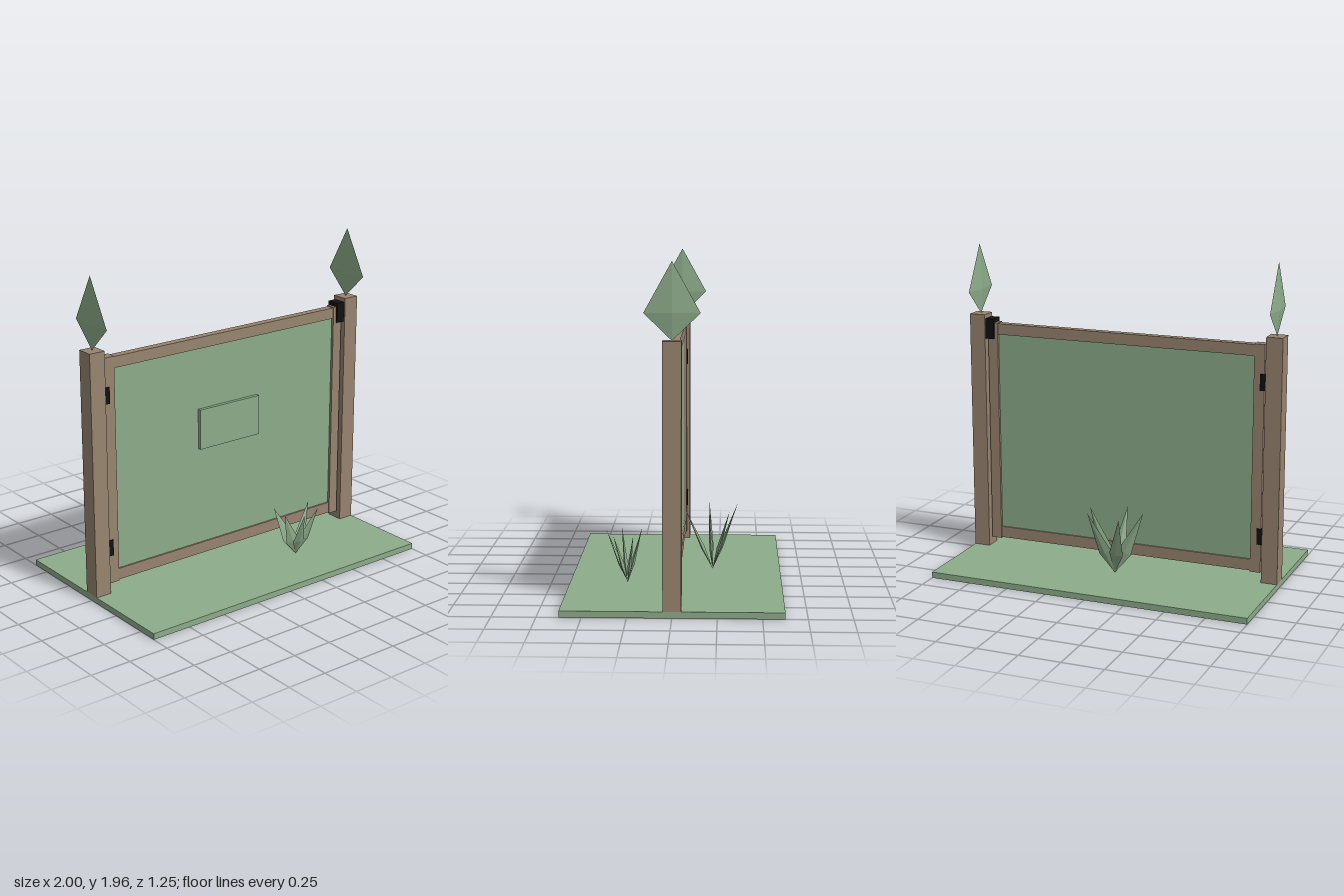
import * as THREE from 'three';

const green = new THREE.MeshStandardMaterial({ name: 'leaf green', color: 0x8dac8a });
const brown = new THREE.MeshStandardMaterial({ name: 'wood brown', color: 0x98846f });
const black = new THREE.MeshStandardMaterial({ name: 'iron black', color: 0x111111 });

// Box given by its minimum and maximum corners
function box(name, material, [x0, y0, z0], [x1, y1, z1]) {
  const mesh = new THREE.Mesh(new THREE.BoxGeometry(x1 - x0, y1 - y0, z1 - z0), material);
  mesh.position.set((x0 + x1) / 2, (y0 + y1) / 2, (z0 + z1) / 2);
  mesh.name = name;
  return mesh;
}

// Thin kite-shaped blade standing on its lower point, wide along x
function blade(name, height, halfWidth, halfDepth) {
  const geometry = new THREE.OctahedronGeometry(1);
  const p = geometry.attributes.position;
  for (let i = 0; i < p.count; i++) {
    const y = p.getY(i);
    p.setXYZ(i, p.getX(i) * halfWidth, height * (0.35 + y * (y > 0 ? 0.65 : 0.35)), p.getZ(i) * halfDepth);
  }
  geometry.computeVertexNormals();
  const mesh = new THREE.Mesh(geometry, green);
  mesh.name = name;
  return mesh;
}

// Tuft of blades leaning from one root towards the given tip offsets
function plant(name, root, tips) {
  const group = new THREE.Group();
  group.name = name;
  group.position.set(...root);
  for (const tip of tips) {
    const up = new THREE.Vector3(...tip);
    const leaf = blade('plantLeaf', up.length(), 0.043, 0.012);
    up.normalize();
    const side = new THREE.Vector3(1, 0, 0).addScaledVector(up, -up.x).normalize();
    const face = new THREE.Vector3().crossVectors(side, up);
    leaf.quaternion.setFromRotationMatrix(new THREE.Matrix4().makeBasis(side, up, face));
    group.add(leaf);
  }
  return group;
}

export function createModel() {
  const model = new THREE.Group();
  model.name = 'gardenGate';

  // Ground slab
  model.add(box('groundSlab', green, [-1, 0, -0.625], [1, 0.037, 0.625]));

  // Posts with leaf finials, and the gate's upright stiles
  for (const s of [-1, 1]) {
    const post = box('post', brown, [-0.05, 0.037, -0.052], [0.05, 1.527, 0.052]);
    post.position.x = s * 0.95;
    const finial = blade('leafFinial', 0.43, 0.155, 0.015);
    finial.rotation.y = Math.PI / 2;
    finial.position.set(s * 0.95, 1.527, 0);
    const stile = box('gateStile', brown, [-0.032, 0.09, -0.031], [0.032, 1.478, 0.031]);
    stile.position.x = s * 0.856;
    model.add(post, finial, stile);
  }

  // Gate rails, panel and plaque
  model.add(
    box('topRail', brown, [-0.83, 1.405, -0.025], [0.83, 1.473, 0.025]),
    box('bottomRail', brown, [-0.83, 0.095, -0.025], [0.83, 0.165, 0.025]),
    box('gatePanel', green, [-0.83, 0.16, -0.015], [0.83, 1.41, 0.015]),
    box('plaque', green, [-0.223, 0.778, 0.014], [0.223, 1.028, 0.038]),
  );

  // Hinges and latch
  for (const y of [0.316, 1.254]) {
    model.add(box('hinge', black, [-0.901, y - 0.049, -0.038], [-0.863, y + 0.049, 0.038]));
  }
  model.add(box('latch', black, [0.845, 1.377, -0.043], [0.9, 1.502, 0.043]));

  // Plants in front of and behind the gate
  model.add(
    plant('frontPlant', [0.325, 0.037, 0.285], [
      [-0.112, 0.303, -0.08], [0.13, 0.303, -0.04], [-0.128, 0.303, 0.042],
      [0.107, 0.303, 0.078], [-0.045, 0.303, 0.128],
    ]),
    plant('backPlant', [-0.028, 0.037, -0.213], [
      [-0.086, 0.388, -0.152], [0.134, 0.388, -0.104], [-0.174, 0.388, 0.022],
      [0.17, 0.388, 0.022], [-0.016, 0.37, 0.17],
    ]),
  );
  return model;
}
